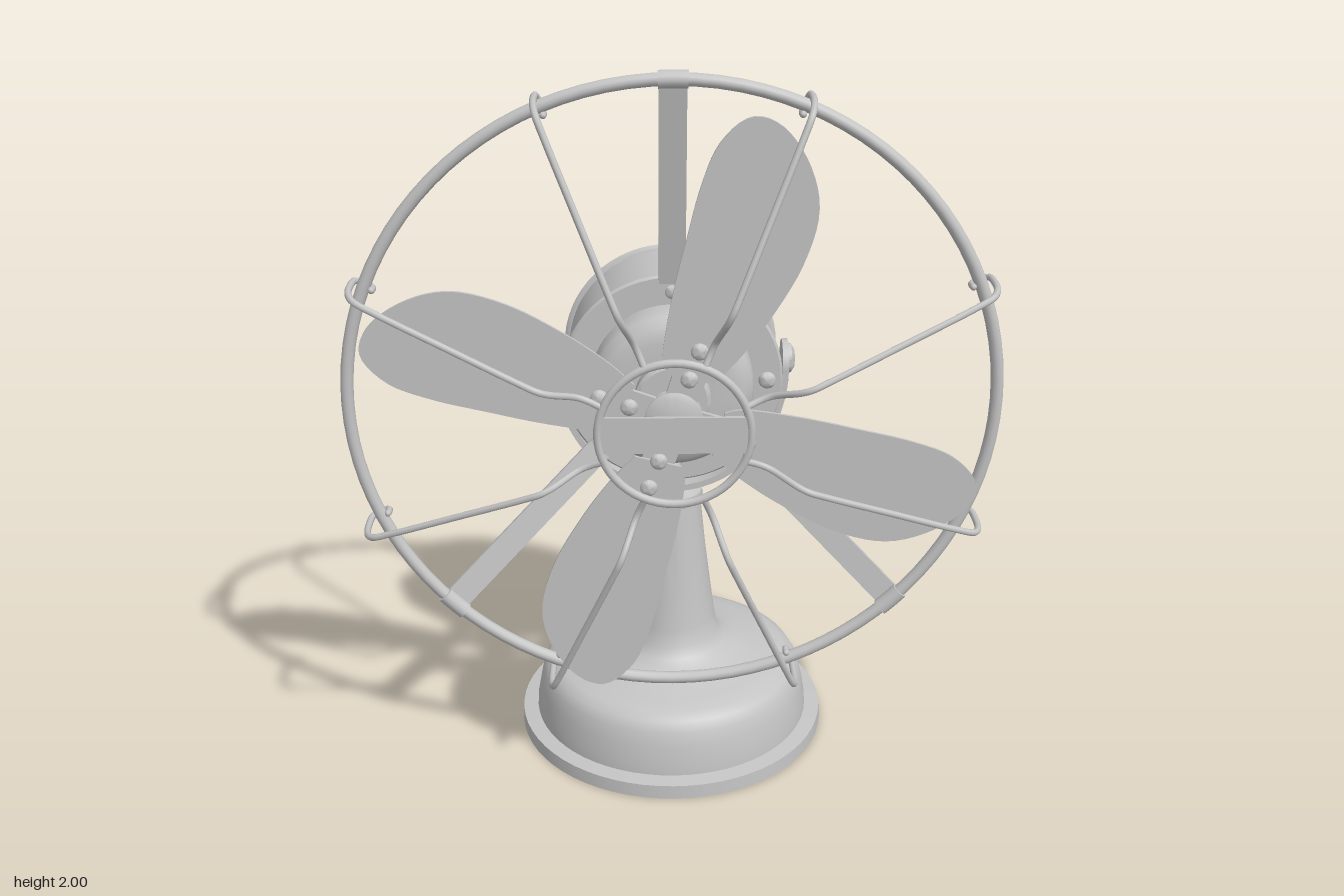
import * as THREE from 'three';
import { toCreasedNormals } from 'three/addons/utils/BufferGeometryUtils.js';

export function createModel() {
  const model = new THREE.Group();
  model.name = 'deskFan';
  const grey = new THREE.MeshStandardMaterial({ color: 0xc4c4c4 });
  grey.name = 'grey metal';

  const V = (x, y, z) => new THREE.Vector3(x, y, z);
  const add = (parent, name, geo, x = 0, y = 0, z = 0) => {
    const m = new THREE.Mesh(geo, grey);
    m.name = name;
    m.position.set(x, y, z);
    parent.add(m);
    return m;
  };
  const group = (parent, name, x = 0, y = 0, z = 0) => {
    const g = new THREE.Group();
    g.name = name;
    g.position.set(x, y, z);
    parent.add(g);
    return g;
  };
  const lathe = (pts, seg = 48) => toCreasedNormals(
    new THREE.LatheGeometry(pts.map(p => new THREE.Vector2(p[0], p[1])), seg), 0.65);
  // Turned part about the z axis, profile given as [radius, z]
  const turned = (pts, seg) => lathe(pts, seg).rotateX(Math.PI / 2);
  const dome = (r, h) => turned([[r, 0], [r * 0.92, h * 0.45], [r * 0.6, h * 0.85], [0, h]], 14);

  const AXIS = 1.133, BACK = -0.045;

  // Base and pedestal
  const stand = group(model, 'stand', 0, 0, BACK);
  add(stand, 'base', lathe([
    [0, 0], [0.445, 0], [0.443, 0.04], [0.4, 0.045], [0.398, 0.075], [0.388, 0.13], [0.378, 0.17],
    [0.362, 0.198], [0.335, 0.213], [0.29, 0.223], [0.235, 0.235], [0.19, 0.25], [0.155, 0.27],
    [0.136, 0.3], [0.126, 0.35], [0.113, 0.45], [0.098, 0.57], [0.083, 0.72], [0, 0.72],
  ], 64));
  add(stand, 'collar', lathe([
    [0.075, 0.715], [0.086, 0.72], [0.09, 0.735], [0.086, 0.75], [0.07, 0.754],
    [0.055, 0.76], [0.05, 0.79], [0, 0.79],
  ]));

  // Switch on the back of the base
  const toggle = group(stand, 'switch', 0, 0.22, -0.265);
  toggle.rotation.x = -0.17;
  add(toggle, 'switchNut', lathe([[0.034, -0.015], [0.034, 0.018], [0.022, 0.028], [0, 0.028]], 16));
  add(toggle, 'switchLever', lathe([[0.013, 0.02], [0.02, 0.068], [0.015, 0.074], [0, 0.075]], 16));

  // Yoke: a half hoop below the motor with rounded ends at the pivots
  const yoke = group(model, 'yoke', 0, AXIS, BACK);
  const hoop = new THREE.Shape();
  hoop.absellipse(0, 0, 0.32, 0.365, Math.PI, Math.PI * 2, false);
  hoop.absellipse(0, 0, 0.304, 0.347, Math.PI * 2, Math.PI, true);
  add(yoke, 'yokeHoop', toCreasedNormals(new THREE.ExtrudeGeometry(hoop,
    { depth: 0.13, bevelEnabled: false, curveSegments: 32 }), 0.6), 0, 0, -0.065);
  for (const s of [-1, 1]) {
    add(yoke, 'yokeEnd', new THREE.CylinderGeometry(0.065, 0.065, 0.016, 28).rotateZ(Math.PI / 2), s * 0.312, 0, 0);
    add(yoke, 'pivotKnob', dome(0.043, 0.022).rotateY(s * Math.PI / 2), s * 0.32, 0.012, 0);
  }

  // Motor housing
  const motor = group(model, 'motor', 0, AXIS, 0);
  add(motor, 'motorHousing', turned([
    [0, -0.25], [0.11, -0.25], [0.155, -0.247], [0.19, -0.235], [0.21, -0.213], [0.215, -0.187],
    [0.293, -0.187], [0.299, -0.181], [0.293, -0.174], [0.285, -0.172],
    [0.285, 0.068], [0.293, 0.07], [0.299, 0.077], [0.293, 0.084], [0.218, 0.084],
    [0.218, 0.125], [0.212, 0.155], [0.19, 0.176], [0.15, 0.184], [0.1, 0.185],
    [0.1, 0.215], [0.09, 0.223], [0, 0.223],
  ], 64));
  add(motor, 'rearBearingCap', turned([
    [0, -0.325], [0.075, -0.325], [0.085, -0.32], [0.09, -0.31], [0.093, -0.24],
  ]));
  for (let i = 0; i < 4; i++) {
    const a = i * Math.PI / 2, x = 0.256 * Math.cos(a), y = 0.256 * Math.sin(a);
    add(motor, 'rearBolt', dome(0.024, 0.017).rotateY(Math.PI), x, y, -0.187);
    add(motor, 'frontBolt', dome(0.024, 0.017), x, y, 0.084);
  }
  add(motor, 'shaft', new THREE.CylinderGeometry(0.03, 0.03, 0.13, 24).rotateX(Math.PI / 2), 0, 0, 0.28);

  // Four blades, each with a riveted arm
  const rotor = group(model, 'rotor', 0, AXIS, 0.34);
  add(rotor, 'hub', turned([[0, -0.016], [0.075, -0.016], [0.075, 0.006], [0.06, 0.014], [0, 0.014]]));
  const outline = new THREE.SplineCurve([
    [-0.02, 0.13], [-0.028, 0.185], [-0.005, 0.33], [0.03, 0.48], [0.063, 0.61], [0.108, 0.72],
    [0.185, 0.785], [0.265, 0.757], [0.33, 0.66], [0.352, 0.545], [0.315, 0.41], [0.24, 0.275],
    [0.165, 0.17], [0.1, 0.1],
  ].map(p => new THREE.Vector2(p[0], p[1])));
  const bladeGeo = toCreasedNormals(new THREE.ExtrudeGeometry(new THREE.Shape(outline.getPoints(60)),
    { depth: 0.008, bevelEnabled: false }), 0.6);
  const armShape = new THREE.Shape();
  armShape.moveTo(-0.04, 0);
  armShape.lineTo(-0.045, 0.2);
  armShape.absarc(0, 0.2, 0.045, Math.PI, 0, true);
  armShape.lineTo(0.04, 0);
  const armGeo = new THREE.ExtrudeGeometry(armShape, { depth: 0.012, bevelEnabled: false });
  for (let i = 0; i < 4; i++) {
    const g = group(rotor, 'bladeUnit');
    g.rotation.z = i * Math.PI / 2;
    add(g, 'blade', bladeGeo, 0, 0, 0.002);
    const arm = group(g, 'bladeArm');
    arm.rotation.z = -0.33;
    add(arm, 'armPlate', armGeo, 0, 0, -0.01);
    for (const r of [0.12, 0.2]) {
      add(arm, 'rivetFront', dome(0.023, 0.014), 0, r, 0.01);
      add(arm, 'rivetBack', dome(0.023, 0.014).rotateY(Math.PI), 0, r, -0.01);
    }
  }

  // Guard: outer ring, small front ring with a plate, eight bent wires
  const guard = group(model, 'guard', 0, AXIS, 0);
  const RING = 0.848, RING_Z = 0.224;
  add(guard, 'outerRing', new THREE.TorusGeometry(RING, 0.017, 12, 96), 0, 0, RING_Z);
  add(guard, 'frontRing', new THREE.TorusGeometry(0.193, 0.011, 10, 56), 0, 0, 0.435);
  add(guard, 'frontPlate', new THREE.BoxGeometry(0.385, 0.098, 0.01), 0, 0, 0.437);
  const wirePath = new THREE.CatmullRomCurve3([
    [0.826, 0.236], [0.826, 0.21], [0.85, 0.199], [0.872, 0.21], [0.878, 0.25], [0.874, 0.315],
    [0.855, 0.352], [0.8, 0.374], [0.6, 0.427], [0.41, 0.476], [0.365, 0.484], [0.335, 0.475],
    [0.265, 0.429], [0.235, 0.425], [0.193, 0.435],
  ].map(p => V(p[0], 0, p[1])), false, 'centripetal');
  const wireGeo = new THREE.TubeGeometry(wirePath, 80, 0.009, 8);
  for (let i = 0; i < 8; i++) {
    const a = (i + 0.5) * Math.PI / 4;
    add(guard, 'guardWire', wireGeo).rotation.z = a;
    add(guard, 'wireEnd', new THREE.SphereGeometry(0.009, 8, 6),
      0.826 * Math.cos(a), 0.826 * Math.sin(a), 0.236);
  }

  // Three flat struts from the motor to the ring, each wrapped round it
  const start = V(0.27, 0, 0.086), end = V(0.84, 0, 0.208);
  const length = start.distanceTo(end), slope = Math.atan2(end.z - start.z, end.x - start.x);
  const sleeveArc = 0.085;
  for (const deg of [90, 225, 315]) {
    const g = group(guard, 'strut');
    g.rotation.z = deg * Math.PI / 180;
    const bar = add(g, 'strutBar', new THREE.BoxGeometry(length, 0.07, 0.012),
      (start.x + end.x) / 2, 0, (start.z + end.z) / 2);
    bar.rotation.y = -slope;
    add(g, 'strutFoot', new THREE.BoxGeometry(0.06, 0.07, 0.012), 0.255, 0, 0.088);
    const sleeve = add(g, 'strutSleeve', new THREE.TorusGeometry(RING, 0.023, 12, 6, sleeveArc), 0, 0, RING_Z);
    sleeve.rotation.z = -sleeveArc / 2;
    sleeve.material = grey;
    for (const s of [-1, 1]) {
      const a = s * sleeveArc / 2;
      const cap = add(g, 'sleeveEnd', new THREE.CylinderGeometry(0.023, 0.023, 0.002, 12),
        RING * Math.cos(a), RING * Math.sin(a), RING_Z);
      cap.rotation.z = a;
    }
  }

  return model;
}
